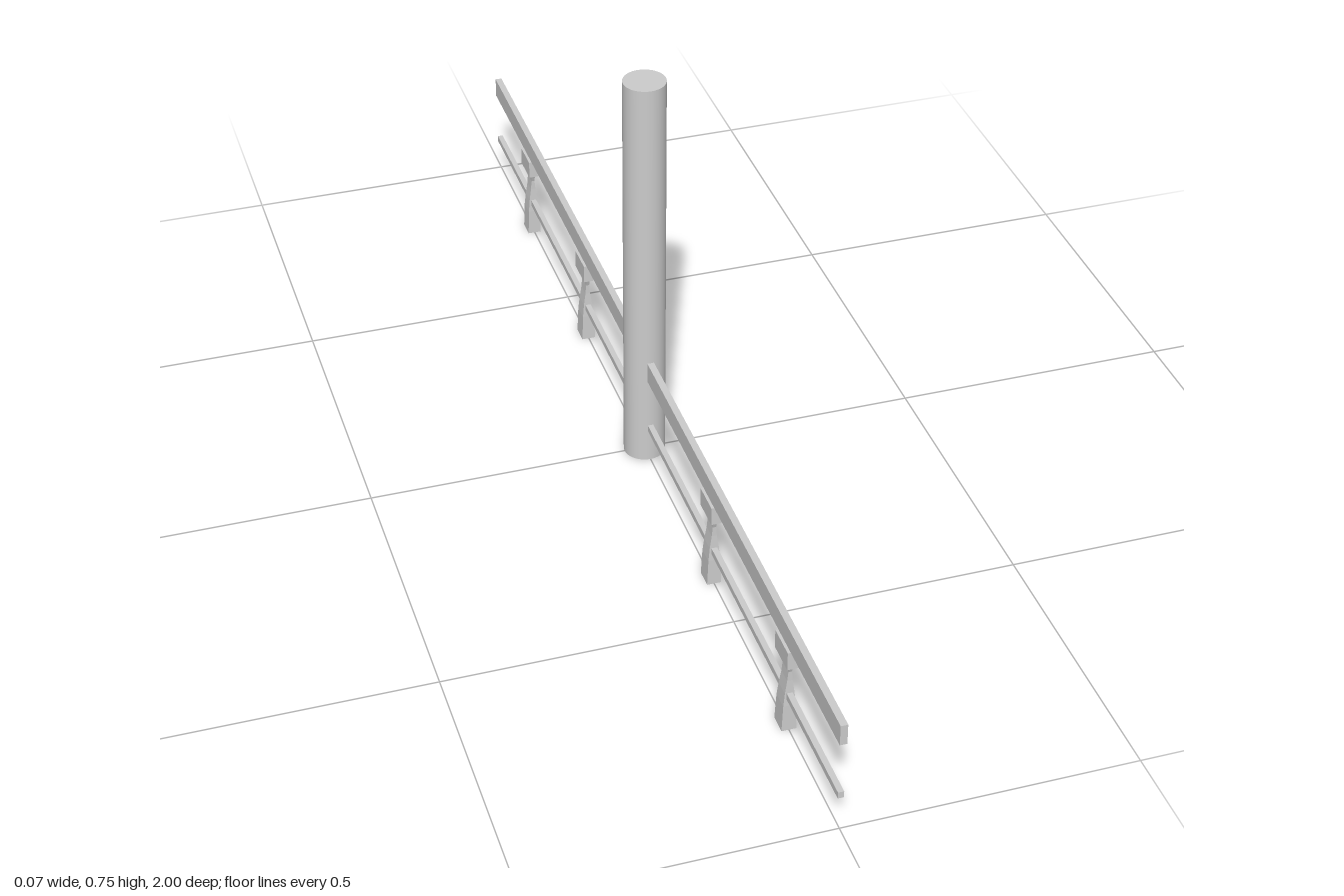
import * as THREE from 'three';

const grey = new THREE.MeshStandardMaterial({ color: 0xcccccc });
const greyFlat = new THREE.MeshStandardMaterial({ color: 0xcccccc, flatShading: true });

function box(name, w, h, d, x, y, z) {
  const mesh = new THREE.Mesh(new THREE.BoxGeometry(w, h, d), greyFlat);
  mesh.name = name;
  mesh.position.set(x, y, z);
  return mesh;
}

// Baluster profile: [height, half width in x, half width in z]
const profile = [
  [0, 0.0125, 0.017],
  [0.05, 0.0105, 0.016],
  [0.075, 0.008, 0.0145],
  [0.1, 0.0045, 0.0135],
  [0.118, 0.003, 0.0135],
  [0.137, 0.003, 0.02],
];

// A box whose rings follow the profile
function balusterGeometry() {
  const n = profile.length - 1;
  const geo = new THREE.BoxGeometry(2, n, 2, 1, n, 1);
  const p = geo.attributes.position;
  for (let i = 0; i < p.count; i++) {
    const [y, hx, hz] = profile[Math.round(p.getY(i) + n / 2)];
    p.setXYZ(i, p.getX(i) * hx, y, p.getZ(i) * hz);
  }
  const flat = geo.toNonIndexed();
  flat.computeVertexNormals();
  return flat;
}

export function createModel() {
  const model = new THREE.Group();
  model.name = 'railing';

  // Tall round column in the middle
  const column = new THREE.Mesh(new THREE.CylinderGeometry(0.037, 0.037, 0.755, 48), grey);
  column.name = 'column';
  column.position.y = 0.3775;
  model.add(column);

  // Rails run out from the column on both sides
  for (const s of [1, -1]) {
    model.add(box('handRail', 0.012, 0.038, 0.97, 0, 0.19, s * 0.515));
    model.add(box('lowerRail', 0.01, 0.012, 0.97, 0, 0.069, s * 0.515));
  }

  // Balusters with a cap block under the hand rail
  const shaftGeo = balusterGeometry();
  for (const z of [0.755, 0.38, -0.372, -0.757]) {
    const post = new THREE.Group();
    post.name = 'baluster';
    const shaft = new THREE.Mesh(shaftGeo, greyFlat);
    shaft.name = 'balusterShaft';
    post.add(shaft, box('balusterCap', 0.022, 0.034, 0.058, 0, 0.154, 0));
    post.position.z = z;
    model.add(post);
  }
  return model;
}
